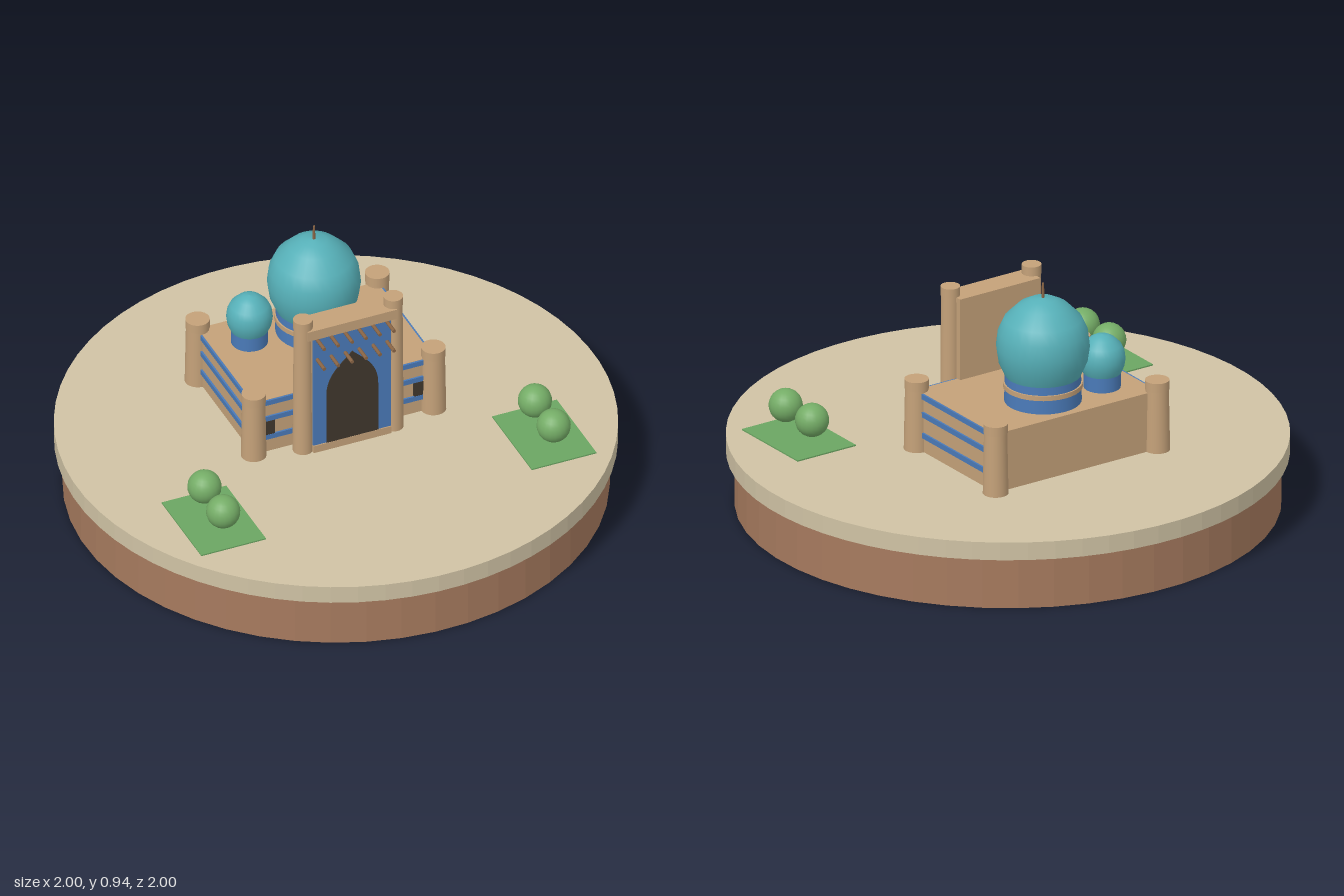
import * as THREE from 'three';

const paint = (name, color, extra = {}) => {
  const m = new THREE.MeshStandardMaterial({ color, ...extra });
  m.name = name;
  return m;
};

export function createModel() {
  const sand = paint('sand', 0xcfc2a4, { flatShading: true });
  const earth = paint('earth', 0xa67a5e, { flatShading: true });
  const brick = paint('brick', 0xc4a179);
  const blue = paint('blue tile', 0x4a7ab8);
  const teal = paint('teal tile', 0x56b0b8);
  const dark = paint('dark opening', 0x40372d);
  const wood = paint('wood', 0x8a6545);
  const grass = paint('grass', 0x6ba562);
  const leaf = paint('leaf', 0x74ac66);

  const model = new THREE.Group();
  const add = (parent, name, geo, mat, x = 0, y = 0, z = 0) => {
    const mesh = new THREE.Mesh(geo, mat);
    mesh.name = name;
    mesh.position.set(x, y, z);
    parent.add(mesh);
    return mesh;
  };
  // Box given by its x, z centre and its bottom and top
  const block = (parent, name, mat, w, d, y0, y1, x, z) =>
    add(parent, name, new THREE.BoxGeometry(w, y1 - y0, d), mat, x, (y0 + y1) / 2, z);
  // Upright cylinder between two heights
  const drum = (parent, name, mat, rTop, rBottom, y0, y1, x, z, n = 24) =>
    add(parent, name, new THREE.CylinderGeometry(rTop, rBottom, y1 - y0, n), mat, x, (y0 + y1) / 2, z);

  // Round island
  const ground = 0.265;
  drum(model, 'islandBase', earth, 0.97, 0.97, 0, 0.2, 0, 0, 48);
  drum(model, 'islandTop', sand, 1, 1, 0.197, ground, 0, 0, 64);

  // Everything on the island is turned by twenty degrees
  const site = new THREE.Group();
  site.name = 'site';
  site.rotation.y = -Math.PI / 9;
  model.add(site);

  // Main hall
  const halfW = 0.348, front = 0.066, back = -0.426, roof = 0.49;
  const midZ = (front + back) / 2;
  block(site, 'hall', brick, halfW * 2, front - back, ground - 0.005, roof, 0, midZ);

  // Tile bands on the front and both sides
  for (const y of [0.33, 0.41, 0.479]) {
    block(site, 'frontBand', blue, halfW * 2, 0.008, y - 0.01, y + 0.01, 0, front + 0.003);
    for (const s of [-1, 1]) {
      block(site, 'sideBand', blue, 0.008, front - back, y - 0.01, y + 0.01, s * (halfW + 0.003), midZ);
    }
  }
  for (const s of [-1, 1]) {
    block(site, 'frontWindow', dark, 0.06, 0.009, 0.342, 0.4, s * 0.3, front + 0.004);
  }

  // Tapered tower with a cap
  const tower = (name, x, z, r, top) => {
    const g = new THREE.Group();
    g.name = name;
    site.add(g);
    drum(g, 'shaft', brick, r * 0.9, r, ground - 0.005, top - 0.03, x, z);
    drum(g, 'cap', brick, r * 0.95, r * 0.95, top - 0.035, top, x, z);
  };
  for (const s of [-1, 1]) {
    tower('cornerTower', s * halfW, front, 0.046, 0.533);
    tower('cornerTower', s * halfW, back, 0.046, 0.533);
    tower('gateTower', s * 0.175, 0.106, 0.037, 0.834);
  }

  // Tall gate with a tiled face
  block(site, 'gate', brick, 0.345, 0.086, ground - 0.005, 0.8, 0, 0.091);
  block(site, 'gateTiles', blue, 0.3, 0.008, 0.29, 0.765, 0, 0.137);
  block(site, 'gateCornice', brick, 0.345, 0.02, 0.76, 0.8, 0, 0.136);
  block(site, 'gateSill', brick, 0.3, 0.018, ground - 0.005, 0.295, 0, 0.136);

  // Pointed archway
  const arch = new THREE.Shape();
  arch.moveTo(-0.1, 0.295);
  arch.lineTo(0.1, 0.295);
  arch.lineTo(0.1, 0.5);
  arch.bezierCurveTo(0.1, 0.59, 0.045, 0.62, 0, 0.668);
  arch.bezierCurveTo(-0.045, 0.62, -0.1, 0.59, -0.1, 0.5);
  arch.closePath();
  add(site, 'archway', new THREE.ExtrudeGeometry(arch, { depth: 0.005, bevelEnabled: false, curveSegments: 10 }),
    dark, 0, 0, 0.139);

  // Two rows of projecting beams
  for (const y of [0.668, 0.755]) {
    for (let i = 0; i < 6; i++) {
      const beam = add(site, 'beam', new THREE.CylinderGeometry(0.007, 0.007, 0.075, 8), wood,
        -0.135 + i * 0.054, y, 0.167);
      beam.rotation.x = Math.PI / 2;
    }
  }

  // Bulbous dome, unit profile centred on its widest ring
  const profile = [[0.82, -0.65], [0.95, -0.35], [1, 0], [0.96, 0.33], [0.83, 0.62], [0.53, 0.92], [0.27, 1.06], [0, 1.1]]
    .map(([r, y]) => new THREE.Vector2(r, y));
  const dome = (name, x, y, z, r) =>
    add(site, name, new THREE.LatheGeometry(profile, 28), teal, x, y, z).scale.setScalar(r);

  const [dx, dz] = [0.03, -0.261];
  drum(site, 'domeDrum', blue, 0.135, 0.138, roof - 0.005, 0.6, dx, dz, 32);
  drum(site, 'domeDrumBand', brick, 0.142, 0.142, 0.543, 0.561, dx, dz, 32);
  dome('mainDome', dx, 0.7, dz, 0.167);
  drum(site, 'finial', wood, 0.004, 0.006, 0.875, 0.938, dx, dz, 8);
  drum(site, 'smallDrum', blue, 0.066, 0.066, roof - 0.005, 0.555, -0.21, -0.283);
  dome('smallDome', -0.21, 0.6, -0.283, 0.083);

  // Lawns with round bushes
  for (const s of [-1, 1]) {
    block(site, 'lawn', grass, 0.25, 0.347, ground - 0.003, 0.27, s * 0.64, 0.377);
    for (const z of [0.295, 0.459]) {
      add(site, 'bush', new THREE.SphereGeometry(0.061, 20, 14), leaf, s * 0.64, 0.364, z);
    }
  }
  return model;
}
